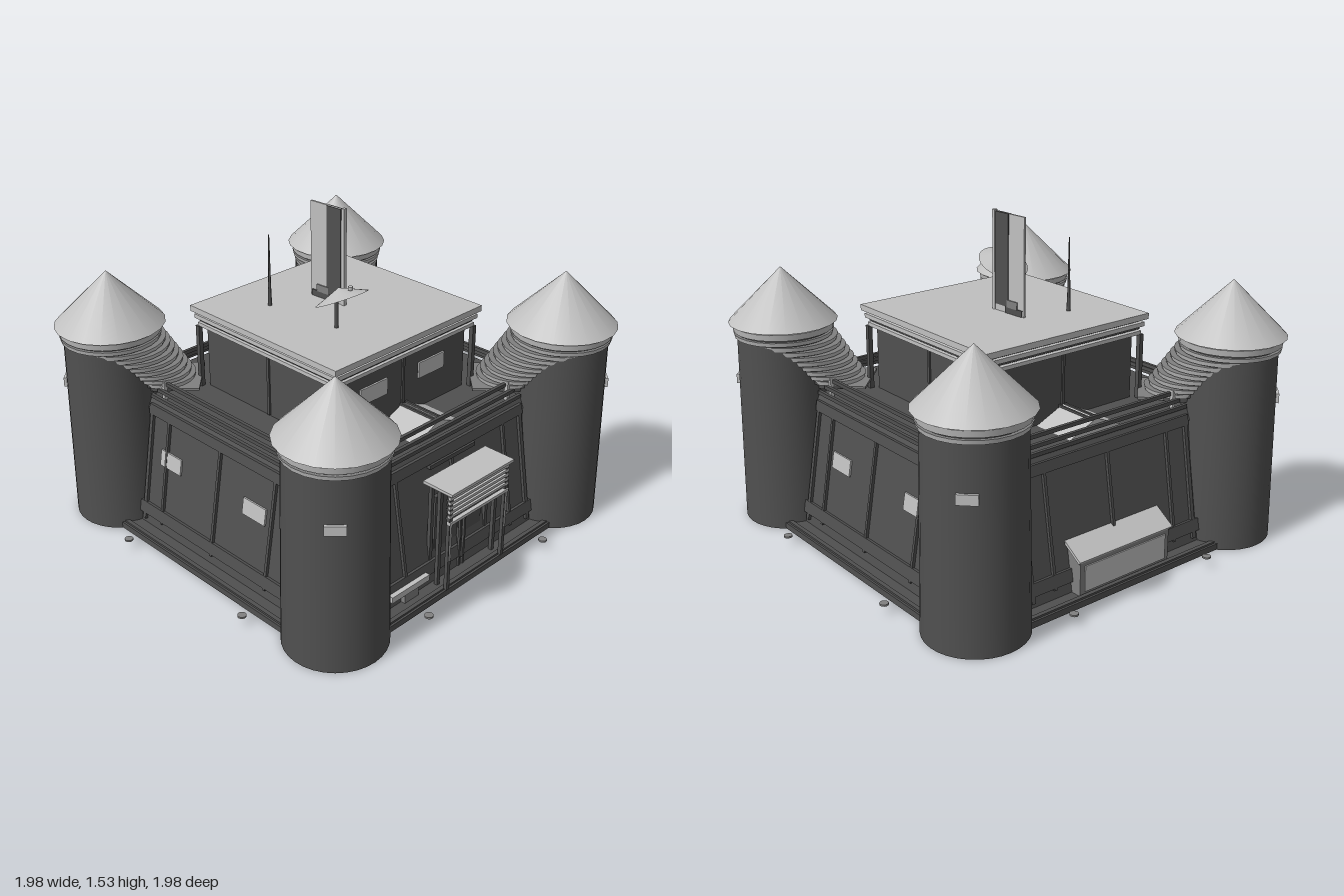
import * as THREE from 'three';

const mat = (name, color, extra = {}) => {
  const m = new THREE.MeshStandardMaterial({ color, ...extra });
  m.name = name;
  return m;
};

export function createModel() {
  const dark = mat('dark grey', 0x505050);
  const mid = mat('mid grey', 0x808080);
  const light = mat('light grey', 0xc0c0c0);
  const lightSheet = mat('light grey sheet', 0xc0c0c0, { side: THREE.DoubleSide });

  const root = new THREE.Group();
  root.name = 'fort';

  const group = (parent, name) => {
    const g = new THREE.Group();
    g.name = name;
    parent.add(g);
    return g;
  };
  const add = (parent, name, geo, material, x = 0, y = 0, z = 0) => {
    const m = new THREE.Mesh(geo, material);
    m.name = name;
    m.position.set(x, y, z);
    parent.add(m);
    return m;
  };
  const box = (parent, name, material, w, h, d, x, y, z) =>
    add(parent, name, new THREE.BoxGeometry(w, h, d), material, x, y, z);
  const cyl = (parent, name, material, rt, rb, h, x, y, z, n = 24) =>
    add(parent, name, new THREE.CylinderGeometry(rt, rb, h, n), material, x, y, z);
  // Square block with sloping sides, given by half widths
  const taper = (parent, name, material, top, bottom, h, y) => {
    const g = new THREE.CylinderGeometry(top * Math.SQRT2, bottom * Math.SQRT2, h, 4)
      .rotateY(Math.PI / 4).toNonIndexed();
    g.computeVertexNormals();
    return add(parent, name, g, material, 0, y, 0);
  };

  // Base and main hall with sloping walls
  box(root, 'baseSlab', dark, 1.77, 0.03, 1.77, 0, 0.018, 0);
  taper(root, 'mainWalls', dark, 0.70, 0.80, 0.6, 0.33);
  taper(root, 'deck', dark, 0.69, 0.715, 0.05, 0.63);

  // Wall trim, ribs, windows and railings on each of the four sides
  ['front', 'left', 'back', 'right'].forEach((label, i) => {
    const side = group(root, label + 'Side');
    side.rotation.y = i * Math.PI / 2;
    const wall = group(side, label + 'WallDetail');
    wall.position.set(0, 0.33, 0.75);
    wall.rotation.x = -Math.atan(0.1 / 0.6);
    box(wall, 'topBand', dark, 1.0, 0.05, 0.025, 0, 0.285, 0.005);
    box(wall, 'bottomBand', dark, 1.06, 0.06, 0.02, 0, -0.22, 0.005);
    for (const x of [-0.36, 0, 0.36]) box(wall, 'rib', dark, 0.014, 0.52, 0.02, x, 0, 0.004);
    for (const x of [-0.485, 0.485]) box(wall, 'edgeRib', dark, 0.02, 0.56, 0.02, x, 0, 0.004);
    if (i % 2 === 0)
      for (const x of [-0.325, 0.25]) {
        const wx = i === 0 ? x : -x;
        box(wall, 'window', light, 0.145, 0.078, 0.009, wx, 0.075, 0.008);
      }
    box(side, 'plinthEdge', dark, 1.1, 0.012, 0.02, 0, 0.036, 0.865);
    [[0.675, 0.70], [0.70, 0.675], [0.732, 0.65]].forEach(([y, z], k) =>
      box(side, 'railing', dark, 1.0 - k * 0.04, 0.018, 0.016, 0, y, z));
    for (const x of [-0.455, 0.455]) box(side, 'railPost', light, 0.018, 0.1, 0.018, x, 0.70, 0.66);
    // Ground markers
    for (const x of [-0.4, 0.4]) cyl(side, 'groundMarker', mid, 0.02, 0.02, 0.008, x, 0.05, 0.963, 12);
  });

  // Corner towers, with stepped discs running down towards the deck
  for (let i = 0; i < 4; i++) {
    const t = group(root, 'cornerTower');
    t.rotation.y = Math.PI / 4 + i * Math.PI / 2;   // local +z points outwards
    const c = 0.737 * Math.SQRT2;
    cyl(t, 'towerBody', dark, 0.218, 0.232, 0.945, 0, 0.4735, c, 32);
    cyl(t, 'towerCollar', light, 0.24, 0.235, 0.03, 0, 0.96, c, 24);
    cyl(t, 'towerRoof', light, 0, 0.256, 0.255, 0, 1.11, c, 20);
    box(t, 'towerWindow', light, 0.09, 0.045, 0.02, 0, 0.69, c + 0.222);
    for (let k = 0; k < 9; k++) {
      const f = k / 8;
      const geo = new THREE.CylinderGeometry(0.235 - 0.085 * f, 0.23 - 0.085 * f, 0.02, 24);
      add(t, 'stepDisc', geo, [light, mid, light], 0, 0.925 - 0.026 * k, c - 0.235 * f);
      cyl(t, 'stepCore', dark, 0.215 - 0.085 * f, 0.215 - 0.085 * f, 0.026,
        0, 0.905 - 0.026 * k, c - 0.235 * f, 24);
    }
    box(t, 'landing', mid, 0.27, 0.012, 0.12, 0, 0.70, 0.69);
  }

  // Upper room with layered flat roof
  const upper = group(root, 'upperRoom');
  box(upper, 'upperWalls', dark, 0.84, 0.33, 0.84, 0, 0.805, 0);
  [[0.90, 0.018, 0.972], [0.89, 0.012, 0.995], [0.92, 0.02, 1.013], [0.88, 0.02, 1.03],
    [0.945, 0.028, 1.052]].forEach(([w, h, y], k) =>
    box(upper, 'roofLayer', k % 2 ? dark : light, w, h, w, 0, y, 0));
  for (let i = 0; i < 4; i++) {
    const s = group(upper, 'upperSide');
    s.rotation.y = i * Math.PI / 2;
    box(s, 'cornerPost', dark, 0.022, 0.31, 0.022, 0.447, 0.81, 0.447);
    box(s, 'upperRib', dark, 0.014, 0.3, 0.012, 0, 0.81, 0.422);
  }
  for (const z of [-0.187, 0.19]) box(upper, 'upperWindow', light, 0.009, 0.078, 0.17, 0.424, 0.847, z);

  // Small gabled vents on the deck at either side
  const gable = new THREE.Shape([[-0.163, 0.65], [0.163, 0.65], [0, 0.722]].map(p => new THREE.Vector2(...p)));
  for (const s of [-1, 1]) {
    const geo = new THREE.ExtrudeGeometry(gable, { depth: 0.22, bevelEnabled: false })
      .translate(0, 0, -0.11).rotateY(Math.PI / 2);
    add(root, 'deckVent', geo, light, s * 0.535, 0, 0);
    for (const z of [-0.022, 0.012]) box(root, 'ventRidge', dark, 0.22, 0.01, 0.01, s * 0.535, 0.72, z);
  }

  // Entrance porch on the right side
  const porch = group(root, 'porch');
  box(porch, 'canopy', light, 0.165, 0.014, 0.42, 0.82, 0.532, -0.005);
  for (let k = 0; k < 5; k++) {
    box(porch, 'canopySlat', light, 0.012, 0.012, 0.4, 0.885, 0.51 - 0.023 * k, 0);
    box(porch, 'canopySlatBack', dark, 0.01, 0.01, 0.4, 0.872, 0.498 - 0.023 * k, 0);
  }
  box(porch, 'canopyBeam', light, 0.02, 0.014, 0.4, 0.885, 0.384, 0);
  for (const x of [0.775, 0.825, 0.88])
    for (const z of [-0.19, 0.19]) box(porch, 'porchPost', dark, 0.018, 0.49, 0.018, x, 0.28, z);
  for (const z of [-0.19, 0.19]) box(porch, 'postFace', light, 0.006, 0.2, 0.008, 0.891, 0.29, z);
  for (const z of [-0.014, 0.014]) box(porch, 'doorBar', dark, 0.012, 0.42, 0.01, 0.80, 0.245, z);
  box(porch, 'door', dark, 0.02, 0.42, 0.32, 0.765, 0.24, 0);
  box(porch, 'lintel', dark, 0.02, 0.02, 0.3, 0.72, 0.575, 0);

  // Low crate beside the porch
  box(root, 'crateTop', light, 0.05, 0.03, 0.24, 0.80, 0.095, 0.36);
  box(root, 'crateLeg', mid, 0.04, 0.05, 0.09, 0.80, 0.055, 0.35);

  // Sloping hatch on the left side
  const hatch = new THREE.Shape([[-0.85, 0.03], [-0.74, 0.03], [-0.74, 0.25], [-0.76, 0.25], [-0.85, 0.19]]
    .map(p => new THREE.Vector2(...p)));
  add(root, 'hatch', new THREE.ExtrudeGeometry(hatch, { depth: 0.53, bevelEnabled: false }), mid, 0, 0, -0.265);
  const lid = box(root, 'hatchLid', light, 0.12, 0.014, 0.555, -0.807, 0.228, 0);
  lid.rotation.z = 0.588;
  box(root, 'hatchPanel', light, 0.008, 0.12, 0.48, -0.852, 0.11, 0);

  // Rooftop signal board
  const board = group(root, 'signalBoard');
  board.position.set(-0.07, 1.066, -0.023);
  board.rotation.y = 0.06;
  box(board, 'boardPanel', light, 0.19, 0.46, 0.01, -0.01, 0.23, 0);
  box(board, 'boardStripe', dark, 0.085, 0.43, 0.018, 0.038, 0.245, 0);
  box(board, 'boardPost', light, 0.016, 0.466, 0.018, 0.093, 0.233, 0);
  box(board, 'boardFoot', dark, 0.11, 0.03, 0.02, -0.04, 0.015, 0);
  box(board, 'boardClamp', mid, 0.07, 0.035, 0.022, -0.03, 0.045, 0);

  // Thin mast
  cyl(root, 'mast', dark, 0.004, 0.01, 0.2, -0.215, 1.16, 0.212, 8);
  cyl(root, 'mastTip', dark, 0.003, 0.006, 0.25, -0.21, 1.285, 0.215, 8);

  // Tilted dish
  const dish = group(root, 'dish');
  cyl(dish, 'dishPost', dark, 0.009, 0.009, 0.15, 0.172, 1.14, 0.168, 10);
  const bowl = add(dish, 'dishBowl', new THREE.ConeGeometry(0.122, 0.05, 28, 1, true), lightSheet, 0.195, 1.238, 0.168);
  bowl.rotation.z = 0.455;
  cyl(dish, 'dishFeed', light, 0.011, 0.011, 0.016, 0.257, 1.28, 0.168, 10);

  return root;
}
